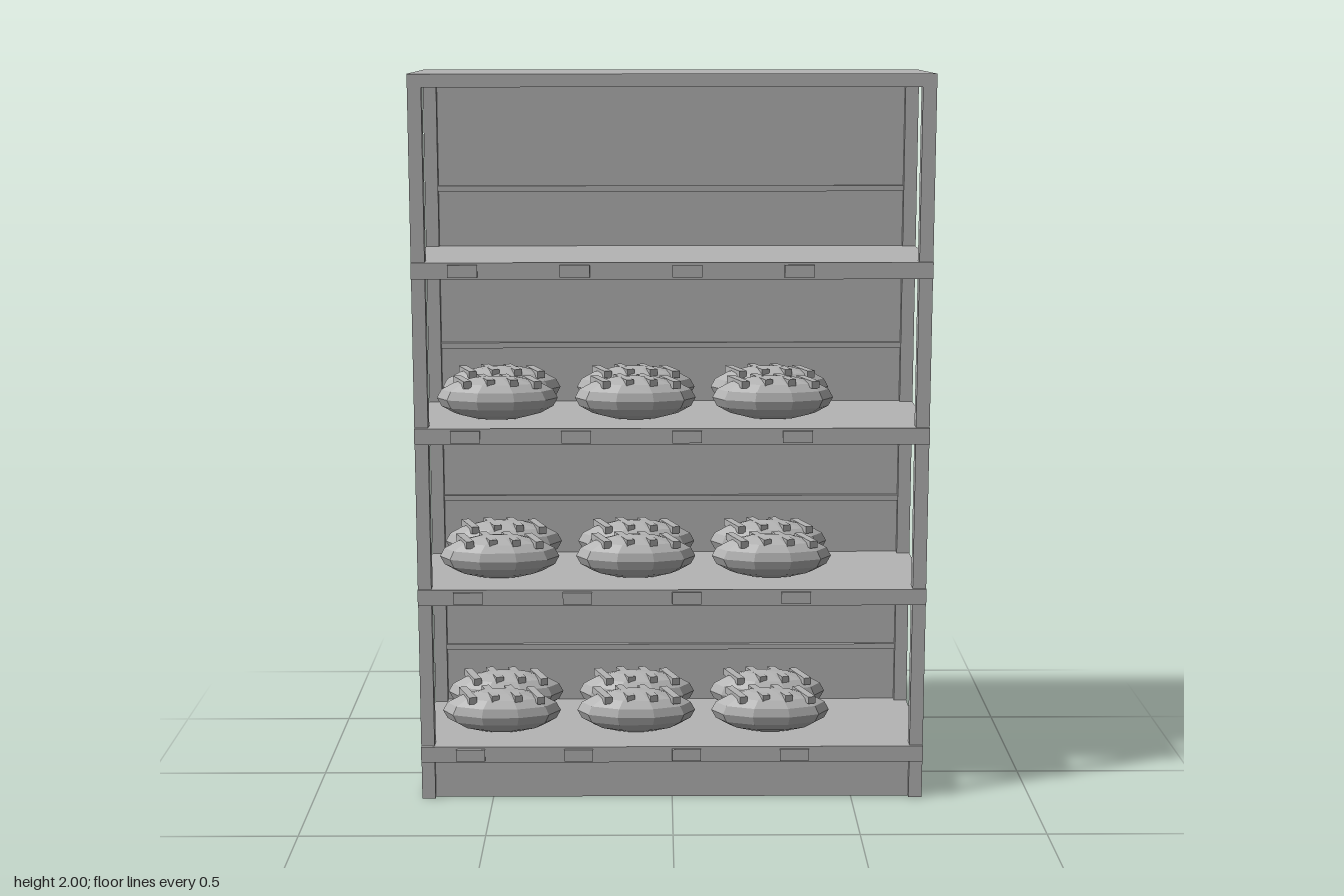
import * as THREE from 'three';

export function createModel() {
  const root = new THREE.Group();
  root.name = 'breadShelf';
  const grey = new THREE.MeshStandardMaterial({ color: 0xb4b4b4, flatShading: true });
  grey.name = 'plain grey';

  // Box given by its minimum and maximum on each axis
  function box(name, x0, x1, y0, y1, z0, z1, parent = root) {
    const mesh = new THREE.Mesh(new THREE.BoxGeometry(x1 - x0, y1 - y0, z1 - z0), grey);
    mesh.position.set((x0 + x1) / 2, (y0 + y1) / 2, (z0 + z1) / 2);
    mesh.name = name;
    parent.add(mesh);
    return mesh;
  }

  const W = 0.698, BACK = -0.233, FRONT = 0.215, POST = 0.037;

  // Frame: posts, back, top and plinth
  for (const side of [-1, 1]) {
    const a = side * W, b = side * (W - POST);
    const x0 = Math.min(a, b), x1 = Math.max(a, b);
    box('frontPost', x0, x1, 0, 1.965, FRONT - POST, FRONT);
    box('backPost', x0, x1, 0.1, 1.965, BACK, BACK + POST + 0.003);
  }
  box('backPanel', -W, W, 0.1, 1.965, BACK, -0.213);
  box('topPanel', -W, W, 1.965, 2, BACK, FRONT);
  box('plinth', -W, W, 0, 0.1, BACK, 0.2);

  // Loaf: faceted ellipsoid with raised slanted scores
  const loafGeometry = new THREE.SphereGeometry(1, 10, 8);
  loafGeometry.scale(0.167, 0.061, 0.079);
  const scoreGeometry = new THREE.BoxGeometry(0.022, 0.02, 0.11);
  function loaf(x, y, z) {
    const group = new THREE.Group();
    group.name = 'loaf';
    const body = new THREE.Mesh(loafGeometry, grey);
    body.name = 'loafBody';
    group.add(body);
    for (let i = 0; i < 4; i++) {
      const score = new THREE.Mesh(scoreGeometry, grey);
      const sx = (i - 1.5) * 0.064;
      score.name = 'loafScore';
      score.position.set(sx, 0.05 - Math.abs(sx) * 0.07, 0);
      score.rotation.y = 0.35;
      group.add(score);
    }
    group.position.set(x, y, z);
    root.add(group);
  }

  // Shelves with front rail, price tags and back bar
  for (let i = 0; i < 4; i++) {
    const top = 0.153 + i * 0.45;
    box('shelf', -W, W, top - 0.027, top, -0.22, FRONT);
    box('shelfRail', -W, W, top - 0.045, top, 0.21, 0.224);
    for (let t = 0; t < 4; t++) {
      const x = -0.6 + t * 0.3;
      box('priceTag', x, x + 0.08, top - 0.039, top - 0.006, 0.224, 0.233);
    }
    box('backBar', -W + POST, W - POST, top + 0.156, top + 0.172, -0.215, -0.2);

    // Two rows of three loaves on all but the highest shelf
    if (i < 3) {
      for (const x of [-0.482, -0.101, 0.279]) {
        for (const z of [0.077, -0.102]) loaf(x, top + 0.06, z);
      }
    }
  }
  return root;
}
